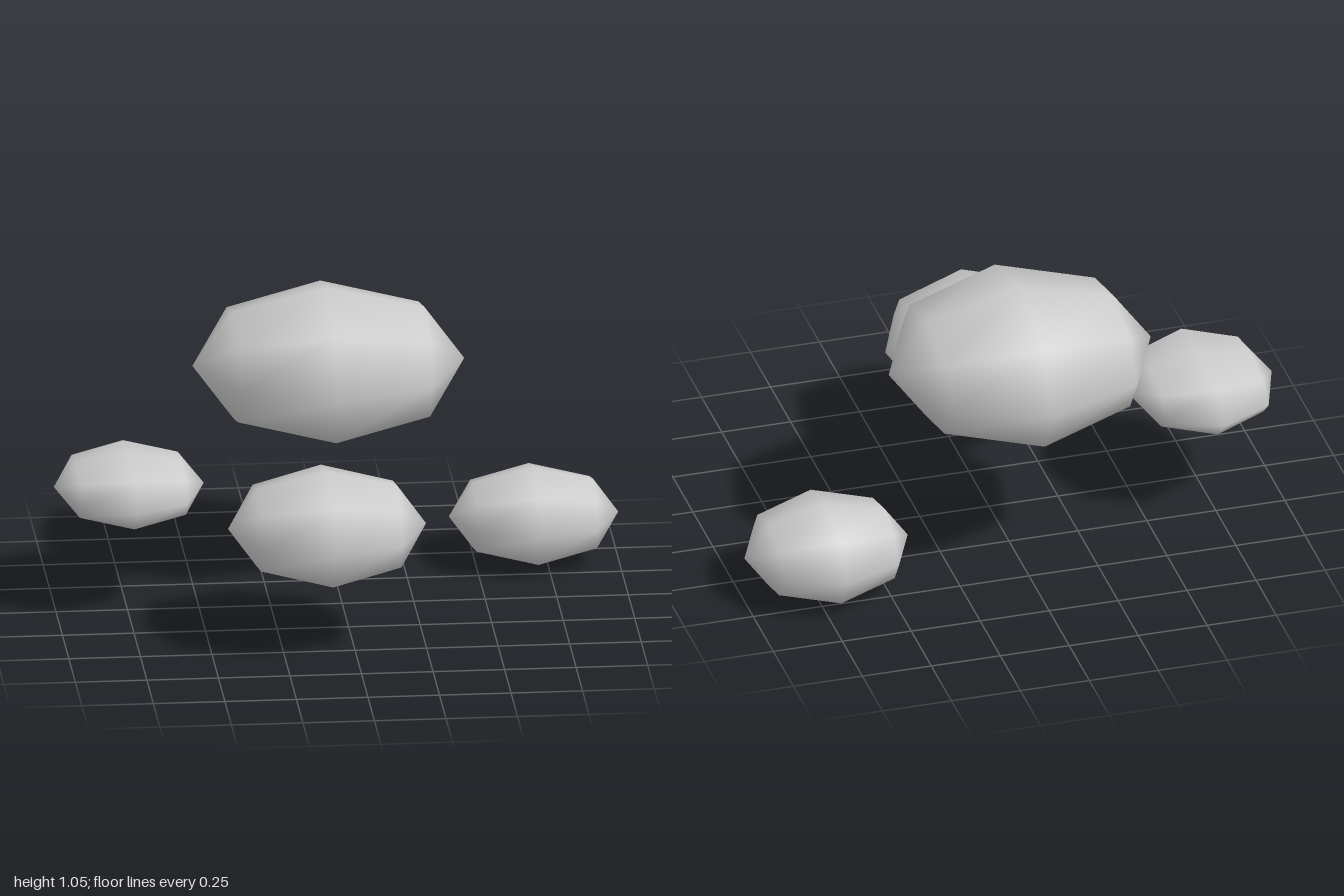
import * as THREE from 'three';

// Each stone: name, centre, half-sizes
const STONES = [
  ['largeStone', [-0.02, 0.784, -0.315], [0.475, 0.272, 0.44]],
  ['frontStone', [-0.09, 0.433, 0.412], [0.346, 0.202, 0.342]],
  ['rightStone', [-0.738, 0.433, -0.086], [0.262, 0.122, 0.32]],
  ['leftStone', [0.704, 0.175, -0.39], [0.296, 0.172, 0.271]],
];

export function createModel() {
  const group = new THREE.Group();
  group.name = 'stoneCluster';
  const material = new THREE.MeshStandardMaterial({ color: 0xcccccc });

  // Coarse smooth-shaded ball with its poles along x, shared by all stones
  const ball = new THREE.SphereGeometry(1, 8, 4);
  ball.rotateZ(Math.PI / 2);

  for (const [name, centre, halfSize] of STONES) {
    const stone = new THREE.Mesh(ball, material);
    stone.name = name;
    stone.position.set(...centre);
    stone.scale.set(...halfSize);
    group.add(stone);
  }
  return group;
}
